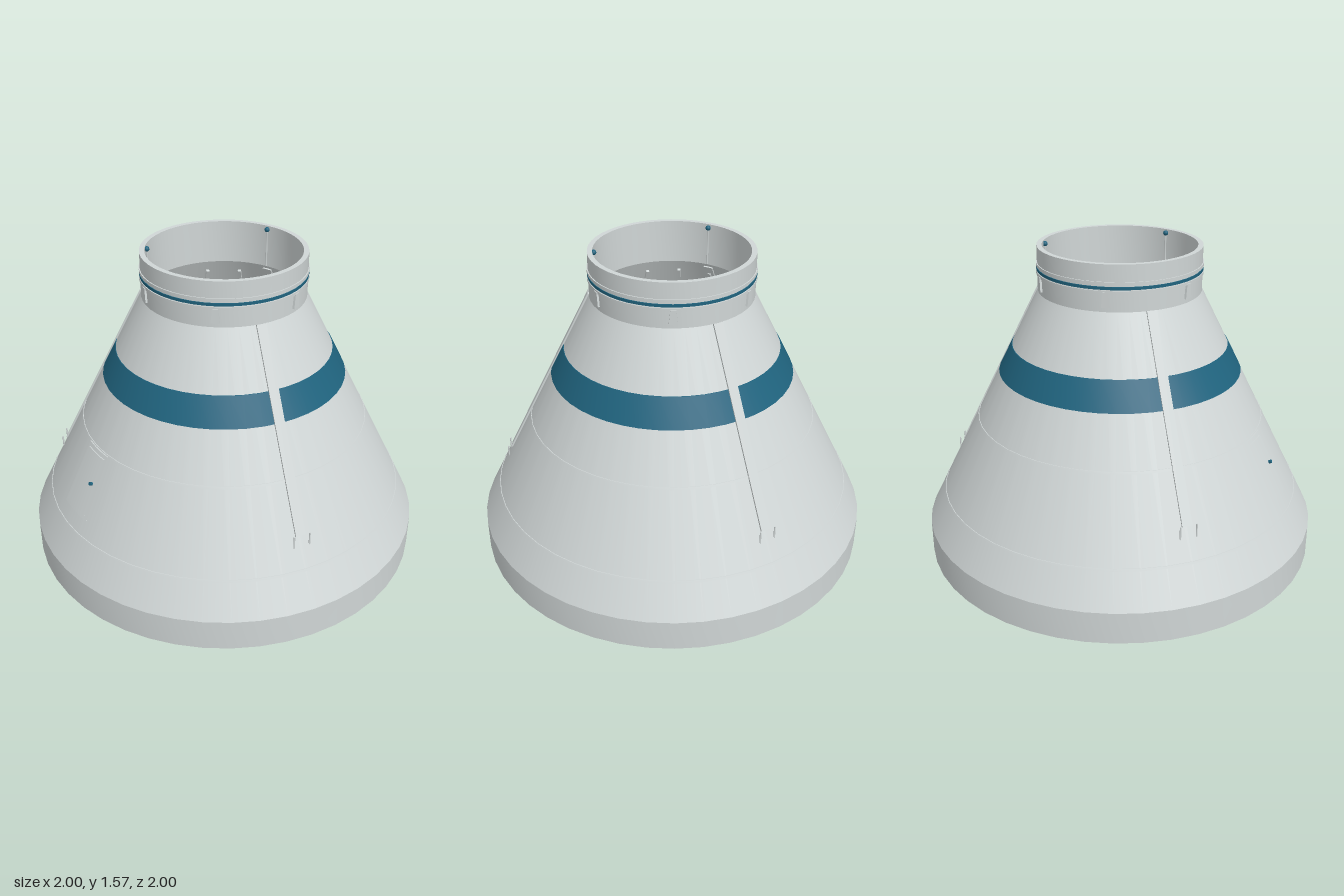
import * as THREE from 'three';
import { toCreasedNormals } from 'three/addons/utils/BufferGeometryUtils.js';

const SIDES = 48;
const SLOPE = 0.6 / 1.19;
const TILT = -Math.atan(SLOPE);
const rad = THREE.MathUtils.degToRad;
const coneR = (y) => 1 - (y - 0.16) * SLOPE;

export function createModel() {
  const model = new THREE.Group();
  const grey = new THREE.MeshStandardMaterial({ color: 0xd0d6d6, side: THREE.DoubleSide });
  grey.name = 'light grey';
  const blue = new THREE.MeshStandardMaterial({ color: 0x20647f, side: THREE.DoubleSide });
  blue.name = 'deep blue';

  function add(name, geometry, material, parent = model) {
    const mesh = new THREE.Mesh(geometry, material);
    mesh.name = name;
    parent.add(mesh);
    return mesh;
  }

  // Revolved profile of [radius, y] pairs, optionally over part of a turn
  function lathe(name, profile, material, start = 0, sweep = 360, sides = SIDES) {
    const pts = profile.map(([r, y]) => new THREE.Vector2(r, y));
    const geo = new THREE.LatheGeometry(pts, sides, rad(start), rad(sweep));
    return add(name, toCreasedNormals(geo, 0.35), material);
  }

  // Thin raised strip that follows the cone between two heights
  function coneStrip(name, y0, y1, lift, material, start, sweep, sides) {
    return lathe(name, [
      [coneR(y0), y0], [coneR(y0) + lift, y0],
      [coneR(y1) + lift, y1], [coneR(y1), y1],
    ], material, start, sweep, sides);
  }

  // Group turned so that its +z points outward at the given angle
  function station(name, angle) {
    const group = new THREE.Group();
    group.name = name;
    group.rotation.y = rad(angle);
    model.add(group);
    return group;
  }

  // Bar lying along the cone slope, from offset "inner" to "outer" of its surface
  function slopeBar(name, y0, y1, width, inner, outer, parent) {
    const length = (y1 - y0) / Math.cos(TILT);
    const geo = new THREE.BoxGeometry(width, length, outer - inner);
    geo.translate(0, 0, (inner + outer) / 2);
    const bar = add(name, geo, grey, parent);
    const y = (y0 + y1) / 2;
    bar.position.set(0, y, coneR(y));
    bar.rotation.x = TILT;
  }

  // Thin upright rod with a blue ball on one end
  function pin(name, x, z, y0, y1, ballY, parent) {
    const rod = add(name + 'Rod', new THREE.CylinderGeometry(0.004, 0.004, y1 - y0, 8), grey, parent);
    rod.position.set(x, (y0 + y1) / 2, z);
    const ball = add(name + 'Ball', new THREE.SphereGeometry(0.013, 12, 8), blue, parent);
    ball.position.set(x, ballY, z);
  }

  // Hollow shell: base ring, cone and collar
  lathe('shell', [
    [1, 0], [1, 0.16], [0.4, 1.35], [0.4, 1.57], [0.375, 1.57],
    [0.375, 1.355], [0.976, 0.16], [0.976, 0.03], [0.965, 0.03], [0.965, 0], [1, 0],
  ], grey);

  // Painted band and raised seams
  coneStrip('paintedBand', 0.945, 1.08, 0.003, blue);
  for (const y of [0.33, 0.71]) coneStrip('seam', y - 0.005, y + 0.005, 0.003, grey);

  // Collar rings with a blue seal between them
  for (const y of [1.442, 1.482]) {
    lathe('collarRing', [[0.399, y - 0.008], [0.405, y - 0.008], [0.405, y + 0.008], [0.399, y + 0.008]], grey);
  }
  lathe('collarSeal', [[0.399, 1.454], [0.404, 1.454], [0.404, 1.468], [0.399, 1.468]], blue);

  // Inner frame ring
  lathe('innerFrame', [
    [coneR(0.7) - 0.02, 0.7], [coneR(0.7) - 0.045, 0.7],
    [coneR(0.72) - 0.045, 0.72], [coneR(0.72) - 0.02, 0.72],
  ], grey);

  // Inner stringers
  for (let i = 0; i < 15; i++) {
    slopeBar('stringer', 0.17, 1.31, 0.016, -0.034, -0.015, station('stringerStation', 15 + i * 24));
  }

  // Tapered lugs around the collar
  const lugShape = new THREE.Shape([
    new THREE.Vector2(-0.021, 1.372), new THREE.Vector2(0.021, 1.372),
    new THREE.Vector2(0.013, 1.442), new THREE.Vector2(-0.013, 1.442),
  ]);
  const lugGeo = new THREE.ExtrudeGeometry(lugShape, { depth: 0.014, bevelEnabled: false });
  for (let i = 0; i < 6; i++) {
    add('collarLug', lugGeo, grey, station('lugStation', 45 + i * 60)).position.z = 0.395;
  }

  // Three rails, each with two lower pins and one upper pin
  for (const angle of [15, 135, 255]) {
    const rail = station('railStation', angle);
    slopeBar('rail', 0.475, 1.35, 0.05, -0.028, 0.007, rail);
    for (const side of [-1, 1]) pin('lowerPin', side * 0.04, 0.86, 0.38, 0.49, 0.38, rail);
    pin('upperPin', 0, 0.369, 1.36, 1.555, 1.552, rail);
  }

  // Access hatch with raised door and handle
  coneStrip('hatchFrame', 0.41, 0.71, 0.007, grey, -72, 13.8, 6);
  coneStrip('hatchDoor', 0.428, 0.692, 0.011, grey, -70.8, 11.4, 6);
  const handle = add('hatchHandle', new THREE.CylinderGeometry(0.009, 0.009, 0.024, 10), blue, station('hatchStation', -61.2));
  handle.position.set(0, 0.57, coneR(0.57) + 0.012);
  handle.rotation.x = Math.PI / 2 + TILT;

  return model;
}
